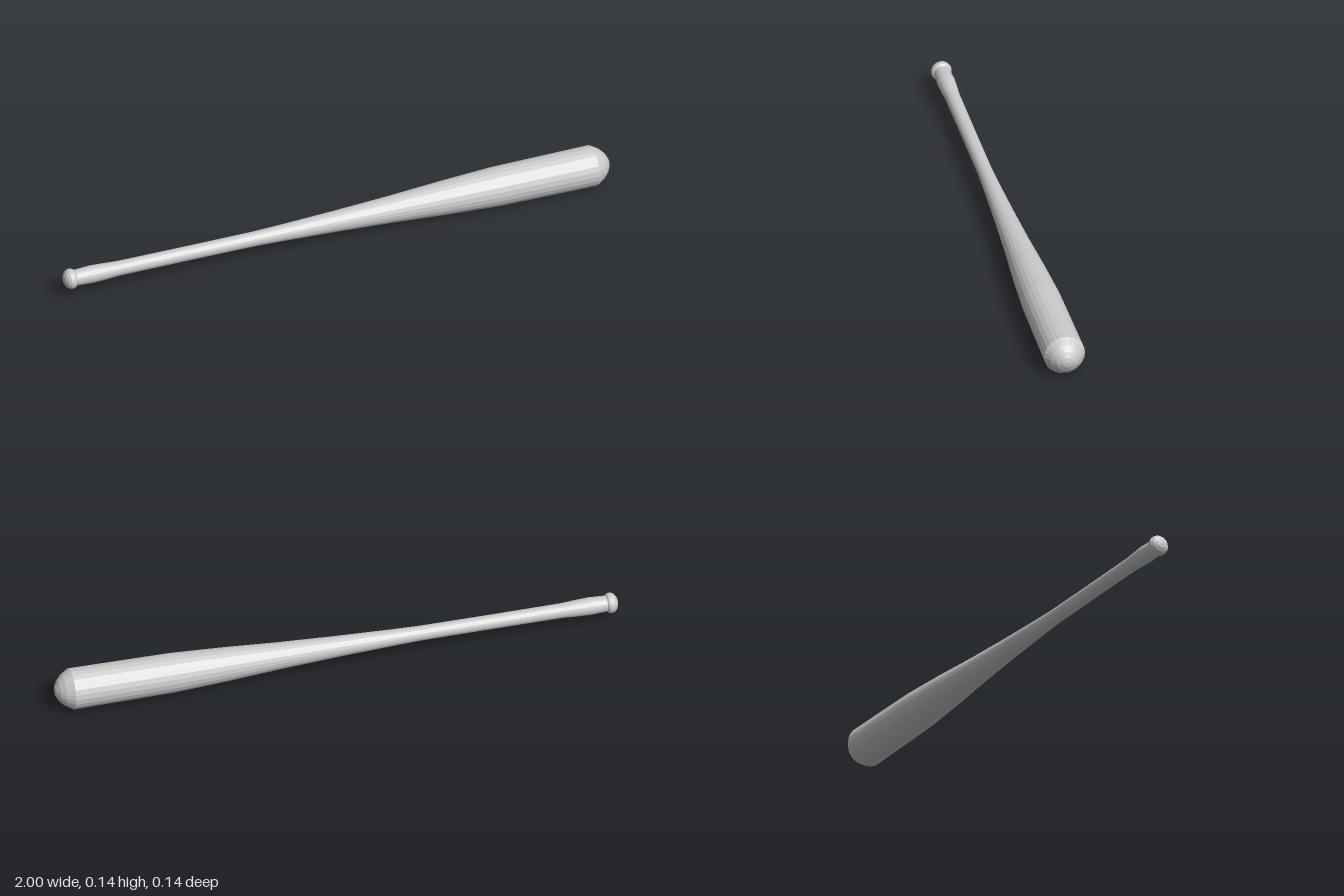
import * as THREE from 'three';

const RADIUS = 0.072;
const SIDES = 24;

// Turned section: [x, radius] pairs from the knob end towards the barrel tip
function turned(name, profile) {
  const points = profile.map(([x, r]) => new THREE.Vector2(r, x));
  const geometry = new THREE.LatheGeometry(points, SIDES);
  geometry.rotateZ(-Math.PI / 2); // lathe axis +y becomes +x
  const material = new THREE.MeshStandardMaterial({ color: 0xcccccc, flatShading: true });
  const mesh = new THREE.Mesh(geometry, material);
  mesh.name = name;
  return mesh;
}

export function createModel() {
  const bat = new THREE.Group();
  bat.name = 'bat';

  // Rounded knob with a narrow groove before the grip
  bat.add(turned('knob', [
    [-1, 0], [-0.998, 0.016], [-0.991, 0.028], [-0.981, 0.035],
    [-0.972, 0.036], [-0.964, 0.034], [-0.959, 0.028],
  ]));

  // Grip flares slightly next to the knob
  bat.add(turned('handle', [
    [-0.959, 0.028], [-0.9, 0.031], [-0.85, 0.029], [-0.8, 0.026],
    [-0.55, 0.0255], [-0.3, 0.026],
  ]));

  // Long taper swelling into the barrel
  bat.add(turned('barrel', [
    [-0.3, 0.026], [-0.2, 0.029], [0, 0.037], [0.2, 0.047],
    [0.4, 0.06], [0.58, 0.069], [0.75, 0.0705], [0.94, RADIUS],
  ]));

  // Domed tip
  bat.add(turned('tip', [
    [0.94, RADIUS], [0.968, 0.055], [0.985, 0.038], [0.996, 0.018], [1, 0],
  ]));

  // Rest the thickest part on the floor
  for (const part of bat.children) part.position.y = RADIUS;
  return bat;
}
